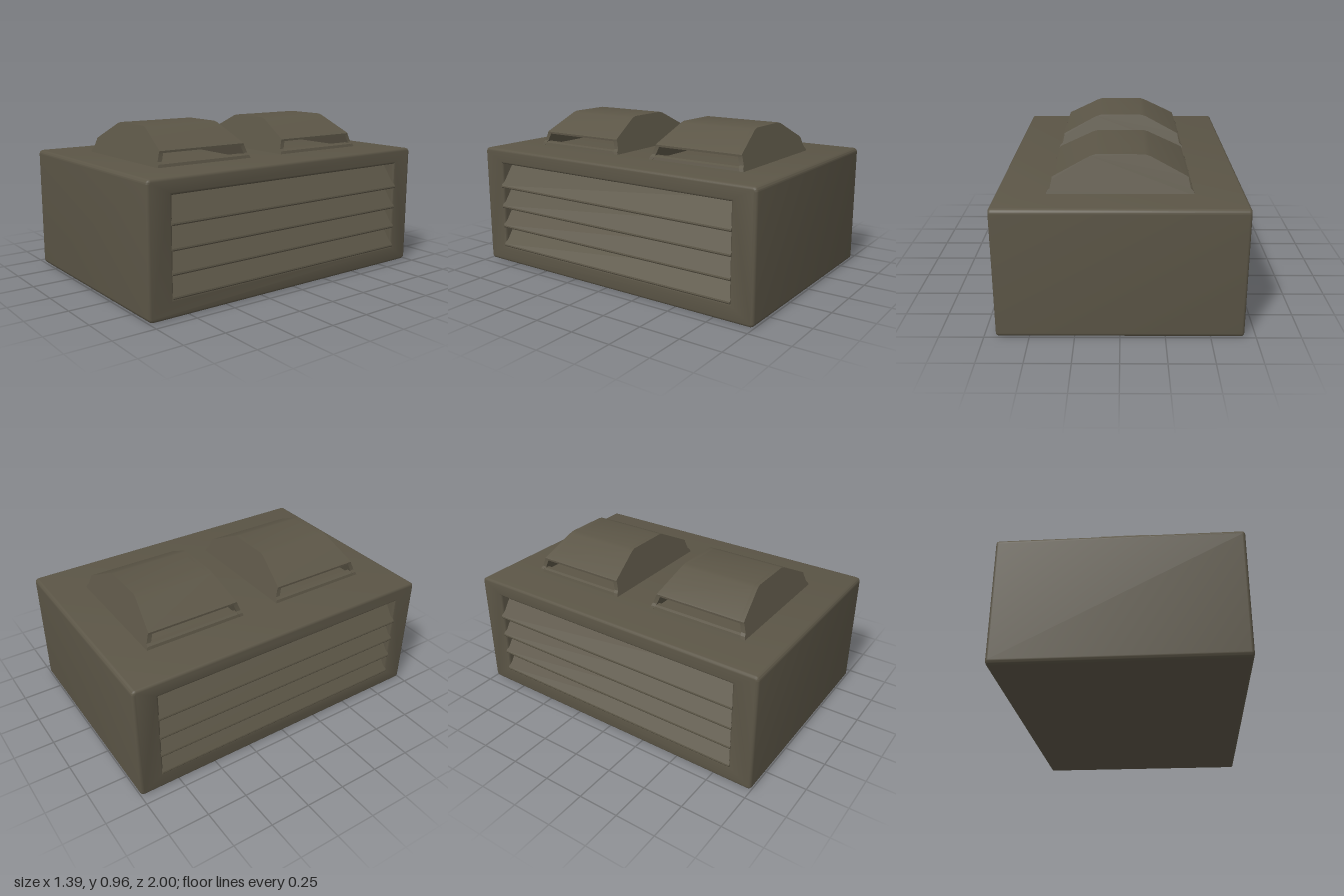
import * as THREE from 'three';
import { toCreasedNormals } from 'three/addons/utils/BufferGeometryUtils.js';

const HW = 0.685, H = 0.755; // cabinet half width and height

const shapeOf = (pts) => new THREE.Shape(pts.map(([x, y]) => new THREE.Vector2(x, y)));
const mirrored = (pts) => [...pts, ...pts.slice().reverse().map(([x, y]) => [-x, y])];

function roundedRect(x0, y0, x1, y1, r) {
  const s = new THREE.Shape();
  s.absarc(x1 - r, y0 + r, r, -Math.PI / 2, 0);
  s.absarc(x1 - r, y1 - r, r, 0, Math.PI / 2);
  s.absarc(x0 + r, y1 - r, r, Math.PI / 2, Math.PI);
  s.absarc(x0 + r, y0 + r, r, Math.PI, Math.PI * 1.5);
  s.closePath();
  return s;
}

// half length of a hood at height y: the end walls lean inwards
const hoodHalf = (y) => 0.322 - 0.34 * (y - H);

function warp(geo, rule) {
  const p = geo.attributes.position;
  for (let i = 0; i < p.count; i++) p.setZ(i, rule(p.getY(i), p.getZ(i)));
  geo.computeVertexNormals();
  return toCreasedNormals(geo, 0.5);
}

export function createModel() {
  const model = new THREE.Group();
  model.name = 'ventilationUnit';
  const paint = new THREE.MeshStandardMaterial({ color: 0x5b5546 });
  paint.name = 'olive grey paint';

  const add = (parent, name, geo) => {
    const m = new THREE.Mesh(geo, paint);
    m.name = name;
    parent.add(m);
    return m;
  };

  // cabinet: rounded box with an opening running through both sides
  const section = roundedRect(-1, 0, 1, H, 0.026);
  section.holes.push(new THREE.Path([[-0.85, 0.11], [-0.85, 0.66], [0.85, 0.66], [0.85, 0.11]]
    .map(([x, y]) => new THREE.Vector2(x, y))));
  const b = 0.016;
  const cabinet = new THREE.ExtrudeGeometry(section, {
    depth: 2 * (HW - b), bevelThickness: b, bevelSize: b, bevelOffset: -b,
    bevelSegments: 3, curveSegments: 5,
  });
  cabinet.translate(0, 0, -(HW - b)).rotateY(Math.PI / 2);
  add(model, 'cabinet', toCreasedNormals(cabinet, 0.7));

  // sloping louvre slats on both sides
  const slat = new THREE.ExtrudeGeometry(shapeOf([
    [0.59, 0.155], [0.582, 0.145], [0.68, 0], [0.69, -0.003], [0.694, 0.004], [0.692, 0.012],
  ]), { depth: 1.72, bevelEnabled: false }).translate(0, 0, -0.86);
  for (const turn of [0, Math.PI]) {
    const louvre = new THREE.Group();
    louvre.name = turn ? 'rightLouvre' : 'leftLouvre';
    louvre.rotation.y = turn;
    for (const y of [0.505, 0.37, 0.238, 0.108]) add(louvre, 'slat', slat).position.y = y;
    model.add(louvre);
  }

  // hood pieces
  const outline = [[0.375, 0.83], [0.375, 0.842], [0.365, 0.849], [0.165, 0.951], [0.135, 0.96]];
  const wallShape = shapeOf(mirrored([[0.41, H - 0.01], [0.4, 0.772], [0.385, 0.785], ...outline]));
  const endWall = warp(new THREE.ExtrudeGeometry(wallShape, { depth: 0.028, bevelEnabled: false }),
    (y, z) => hoodHalf(y) - 0.028 + z);

  const roofShape = shapeOf([
    ...mirrored(outline), [-0.35, 0.83], [-0.13, 0.942], [0.13, 0.942], [0.35, 0.83],
  ]);
  const roof = warp(new THREE.ExtrudeGeometry(roofShape, { depth: 1, bevelEnabled: false }),
    (y, z) => (z < 0.5 ? -1 : 1) * (hoodHalf(y) - 0.005));

  const curb = new THREE.ExtrudeGeometry(shapeOf([
    [0.408, H - 0.01], [0.4, 0.772], [0.386, 0.78], [0.36, 0.78], [0.36, H - 0.01],
  ]), { depth: 0.62, bevelEnabled: false }).translate(0, 0, -0.31);

  // two hoods, open at their sides
  for (const z of [0.4425, -0.4425]) {
    const hood = new THREE.Group();
    hood.name = z > 0 ? 'frontHood' : 'backHood';
    hood.position.z = z;
    add(hood, 'hoodRoof', roof);
    for (const turn of [0, Math.PI]) {
      add(hood, 'hoodEndWall', endWall).rotation.y = turn;
      add(hood, 'hoodCurb', curb).rotation.y = turn;
    }
    model.add(hood);
  }
  return model;
}
